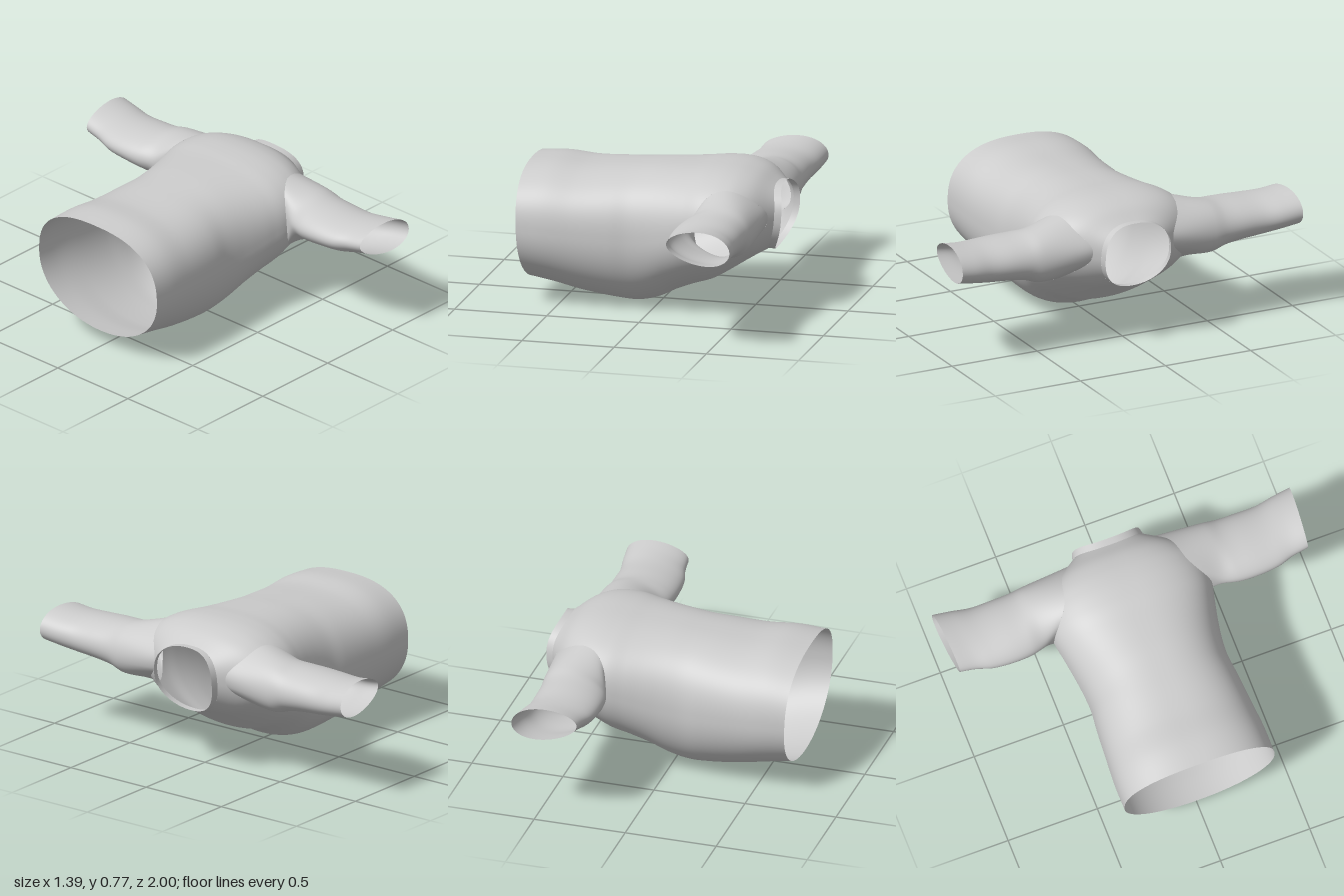
import * as THREE from 'three';

const material = new THREE.MeshStandardMaterial({ color: 0xcccccc, side: THREE.DoubleSide });

// Torso stations along x: top, bottom, half width, height of the widest point
const stations = [
  [-0.69, 0.725, 0.095, 0.42, 0.42], [-0.55, 0.735, 0.07, 0.42, 0.41], [-0.4, 0.725, 0.035, 0.41, 0.40],
  [-0.2, 0.735, 0.005, 0.395, 0.39], [-0.1, 0.742, 0.0, 0.385, 0.39], [0, 0.75, 0.025, 0.39, 0.40],
  [0.1, 0.755, 0.075, 0.405, 0.42], [0.2, 0.76, 0.115, 0.425, 0.45], [0.3, 0.768, 0.15, 0.445, 0.48],
  [0.4, 0.768, 0.21, 0.44, 0.50], [0.48, 0.755, 0.262, 0.41, 0.51], [0.54, 0.73, 0.295, 0.34, 0.51],
  [0.6, 0.68, 0.32, 0.2, 0.51],
];
const profile = new THREE.CubicInterpolant(
  stations.map(s => s[0]), stations.flatMap(s => s.slice(1)), 4, new Float32Array(4));

// Point on the torso skin at station x and angle a around the body
function torsoPoint(x, a) {
  const [top, bottom, half, mid] = profile.evaluate(x);
  const c = Math.cos(a), s = Math.sin(a);
  const power = s > 0 ? 2 / 2.5 : 2 / 2.1;
  const height = s > 0 ? top - mid : mid - bottom;
  const neck = Math.max(0, (x - 0.45) / 0.15) ** 2;
  const hem = Math.max(0, (-0.4 - x) / 0.29);
  return new THREE.Vector3(
    x + neck * (0.02 * s + 0.05 * c * c) - hem * 0.015 * s,
    mid + height * Math.sign(s) * Math.abs(s) ** power,
    half * Math.sign(c) * Math.abs(c) ** power);
}

// Armhole: an ellipse in (x, angle) on the torso skin
const hole = { x: 0.435, a: 0.1, rx: 0.15, ra: 0.67 };

// Skin over rows of closed rings; keep() may leave out cells
function loft(name, rows, flip = false, keep = () => true) {
  const n = rows[0].length, index = [];
  for (let i = 0; i < rows.length - 1; i++) {
    for (let j = 0; j < n; j++) {
      const k = (j + 1) % n;
      if (!keep(i, j, k)) continue;
      const p = i * n + j, q = p + n, r = (i + 1) * n + k, t = i * n + k;
      if (flip) index.push(p, t, q, q, t, r);
      else index.push(p, q, t, q, r, t);
    }
  }
  const geometry = new THREE.BufferGeometry().setFromPoints(rows.flat());
  geometry.setIndex(index);
  geometry.computeVertexNormals();
  const mesh = new THREE.Mesh(geometry, material);
  mesh.name = name;
  return mesh;
}

// Torso tube, its vertices pushed out to the rims of both armholes
function makeTorso() {
  const nx = 100, na = 112, inside = [];
  const rows = [];
  for (let i = 0; i <= nx; i++) {
    const row = [], flags = [];
    for (let j = 0; j < na; j++) {
      let x = -0.69 + 1.29 * i / nx;
      let a = -Math.PI / 2 + 2 * Math.PI * j / na;
      const far = a > Math.PI / 2;
      if (far) a = Math.PI - a;
      const e = Math.hypot((x - hole.x) / hole.rx, (a - hole.a) / hole.ra);
      flags.push(e < 1);
      if (e < 1) {
        x = hole.x + (x - hole.x) / Math.max(e, 1e-4);
        a = hole.a + (a - hole.a) / Math.max(e, 1e-4);
      }
      const p = torsoPoint(x, a);
      if (far) p.z *= -1;
      row.push(p);
    }
    rows.push(row);
    inside.push(flags);
  }
  return loft('torso', rows, false,
    (i, j, k) => !(inside[i][j] && inside[i][k] && inside[i + 1][j] && inside[i + 1][k]));
}

// Sleeve sections: distance out, inner x, outer x, top, bottom
const sleeveSections = [
  [0.5, 0.262, 0.612, 0.66, 0.388], [0.58, 0.24, 0.603, 0.645, 0.41], [0.68, 0.233, 0.6, 0.638, 0.425],
  [0.8, 0.242, 0.6, 0.633, 0.437], [0.9, 0.265, 0.615, 0.638, 0.455], [1.0, 0.275, 0.625, 0.65, 0.472],
];

// Sleeve running from the armhole rim out to the cuff
function makeSleeve(name, side) {
  const count = 64, steps = 36;
  const rows = Array.from({ length: steps + 1 }, () => []);
  for (let j = 0; j < count; j++) {
    const t = 2 * Math.PI * j / count, c = Math.cos(t), s = Math.sin(t);
    const points = [torsoPoint(hole.x + hole.rx * c, hole.a + hole.ra * s)];
    for (const [z, x0, x1, top, bottom] of sleeveSections) {
      const cuff = Math.max(0, (z - 0.8) / 0.2);
      points.push(new THREE.Vector3(
        (x0 + x1) / 2 + (x1 - x0) / 2 * c,
        (top + bottom) / 2 + (top - bottom) / 2 * s * (1 + 0.15 * c) - 0.01 * c,
        z - cuff * 0.0125 * (1 - c)));
    }
    const curve = new THREE.CatmullRomCurve3(points);
    for (let i = 0; i <= steps; i++) {
      const p = curve.getPoint(i / steps);
      p.z *= side;
      rows[i].push(p);
    }
  }
  return loft(name, rows, side > 0);
}

// Thin collar band standing on the neckline
function makeCollar() {
  const rows = [];
  for (let i = 0; i <= 4; i++) {
    const row = [];
    for (let j = 0; j < 80; j++) {
      const p = torsoPoint(0.6, 2 * Math.PI * j / 80);
      p.x += 0.037 * i / 4;
      p.z *= 1 - 0.04 * i / 4;
      row.push(p);
    }
    rows.push(row);
  }
  return loft('collar', rows);
}

export function createModel() {
  const group = new THREE.Group();
  group.name = 'shirt';
  group.add(makeTorso(), makeSleeve('leftSleeve', 1), makeSleeve('rightSleeve', -1), makeCollar());
  return group;
}
